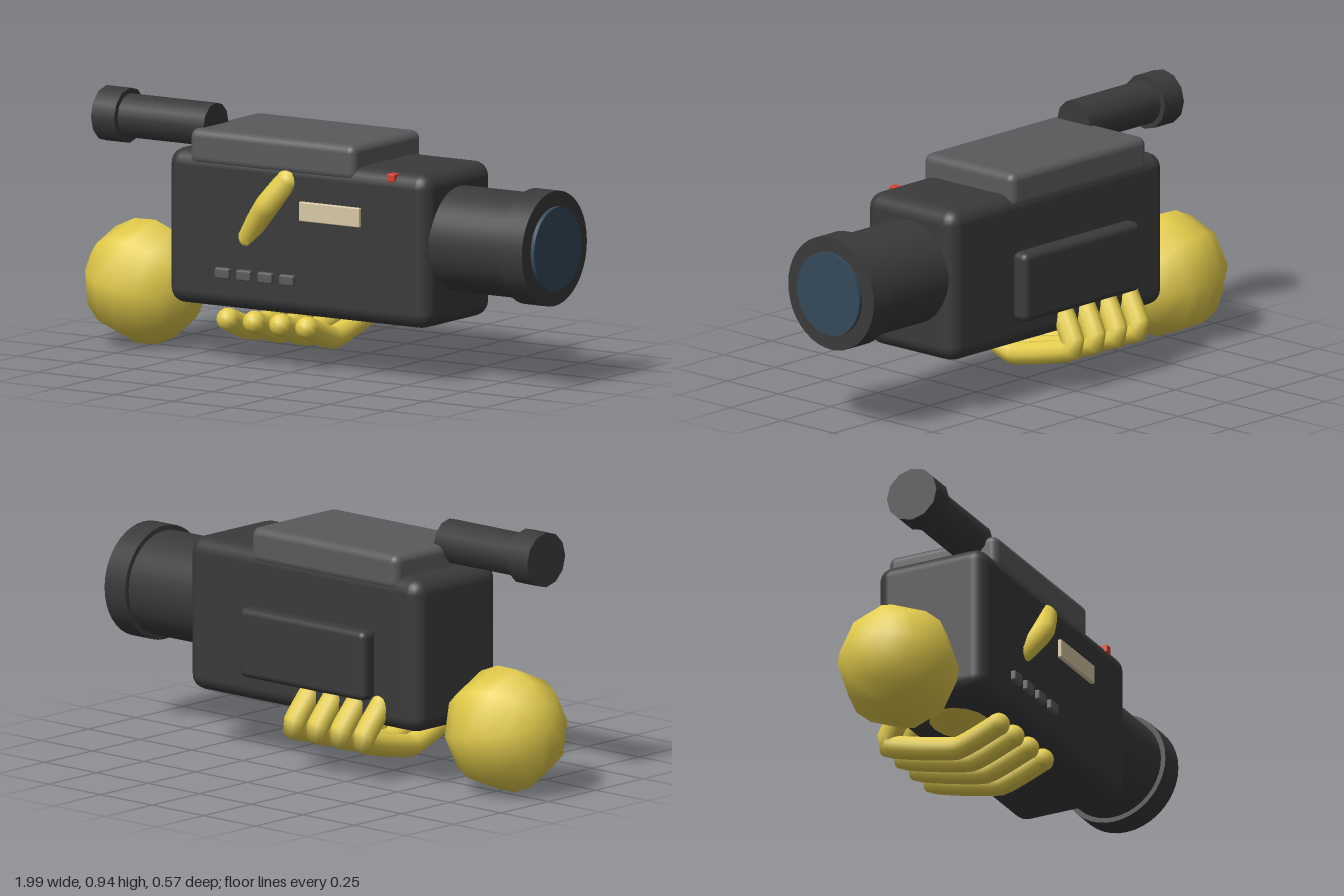
import * as THREE from 'three';
import { RoundedBoxGeometry } from 'three/addons/geometries/RoundedBoxGeometry.js';

const mat = (color) => new THREE.MeshStandardMaterial({ color });

export function createModel() {
  const model = new THREE.Group();
  const dark = mat(0x3a3a3a), grey = mat(0x5a5a5d), yellow = mat(0xe3cc4c);
  const glass = mat(0x34495a), tan = mat(0xd8c8a4), red = mat(0xd84030);

  function add(name, geometry, material, x, y, z, parent = model) {
    const mesh = new THREE.Mesh(geometry, material);
    mesh.name = name;
    mesh.position.set(x, y, z);
    parent.add(mesh);
    return mesh;
  }

  // Rounded box given by its limits on each axis
  function box(name, material, [x0, x1], [y0, y1], [z0, z1], radius) {
    const g = new RoundedBoxGeometry(x1 - x0, y1 - y0, z1 - z0, 3, radius);
    return add(name, g, material, (x0 + x1) / 2, (y0 + y1) / 2, (z0 + z1) / 2);
  }

  // Cylinder lying along x
  function barrel(name, material, [x0, x1], y, z, radius, sides) {
    const g = new THREE.CylinderGeometry(radius, radius, x1 - x0, sides).rotateZ(-Math.PI / 2);
    return add(name, g, material, (x0 + x1) / 2, y, z);
  }

  // Round-ended bent tube
  function digit(name, points, radius) {
    const group = new THREE.Group();
    group.name = name;
    const path = points.map((p) => new THREE.Vector3(...p));
    const curve = new THREE.CatmullRomCurve3(path, false, 'catmullrom', 0.2);
    add(name + 'Tube', new THREE.TubeGeometry(curve, 24, radius, 10), yellow, 0, 0, 0, group);
    for (const p of [points[0], points[points.length - 1]])
      add(name + 'Tip', new THREE.SphereGeometry(radius, 10, 8), yellow, ...p, group);
    model.add(group);
  }

  // Camera housing, top cover and side panel
  box('body', dark, [-0.54, 0.58], [0.21, 0.77], [-0.19, 0.243], 0.055);
  box('topCover', grey, [-0.44, 0.27], [0.72, 0.85], [-0.193, 0.247], 0.03);
  box('sidePanel', dark, [-0.34, 0.27], [0.312, 0.567], [-0.257, -0.185], 0.025);

  // Lens
  barrel('lensBarrel', dark, [0.5, 0.9], 0.517, 0.027, 0.19, 40);
  barrel('lensHood', dark, [0.885, 0.985], 0.517, 0.027, 0.208, 40);
  barrel('lensGlass', glass, [0.96, 1.0], 0.517, 0.027, 0.152, 40);

  // Viewfinder
  barrel('viewfinderTube', dark, [-0.8, -0.4], 0.85, 0.13, 0.08, 12);
  barrel('viewfinderEyecup', dark, [-0.87, -0.77], 0.85, 0.13, 0.1, 12);

  // Controls on the front face
  box('label', tan, [0.04, 0.3], [0.56, 0.63], [0.23, 0.257], 0.004);
  box('recordLight', red, [0.412, 0.444], [0.735, 0.765], [0.21, 0.247], 0.005);
  for (let i = 0; i < 4; i++) {
    const x = -0.29 + i * 0.092;
    box('button', grey, [x - 0.031, x + 0.031], [0.32, 0.36], [0.23, 0.261], 0.008);
  }

  // Wrist ball and palm under the housing
  const wrist = add('wrist', new THREE.SphereGeometry(0.23, 8, 8), yellow, -0.772, 0.235, 0.025);
  wrist.rotation.z = THREE.MathUtils.degToRad(80);
  wrist.scale.set(1, 0.98, 0.94);
  const palm = add('palm', new THREE.SphereGeometry(1, 16, 10), yellow, -0.29, 0.27, 0.025);
  palm.scale.set(0.21, 0.082, 0.16);

  // Four fingers wrapping below, and the thumb on the front face
  for (let i = 0; i < 4; i++) {
    const x = -0.31 + i * 0.113;
    digit('finger', [
      [x, 0.163, 0.187], [x, 0.105, 0.02],
      [x - 0.02, 0.165, -0.248], [x - 0.04, 0.29, -0.172],
    ], 0.042);
  }
  digit('thumb', [[-0.2, 0.475, 0.21], [-0.1, 0.6, 0.25], [-0.025, 0.695, 0.225]], 0.045);

  return model;
}
